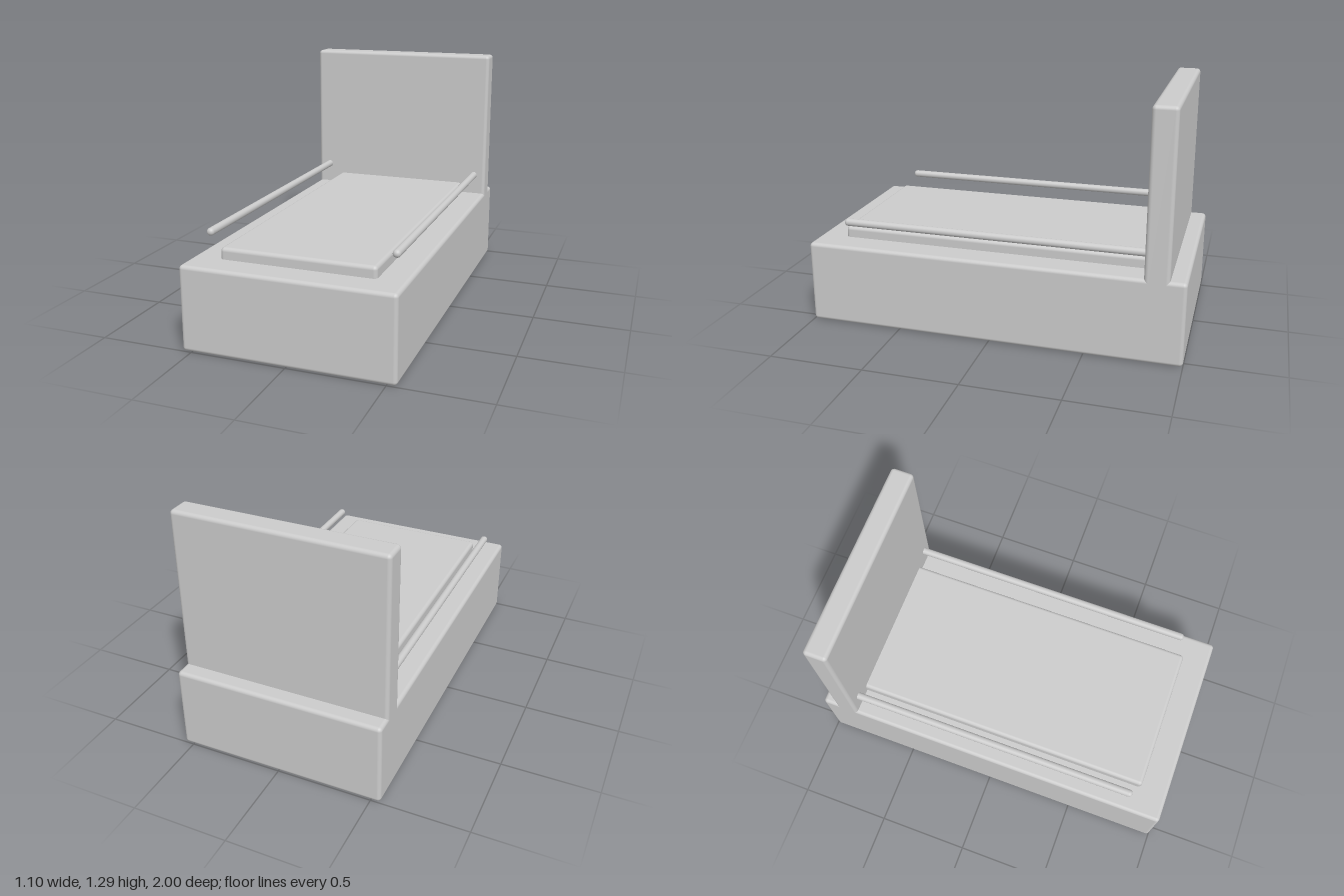
import * as THREE from 'three';
import { RoundedBoxGeometry } from 'three/addons/geometries/RoundedBoxGeometry.js';

const material = new THREE.MeshStandardMaterial({ color: 0xcccccc });

// Soft-edged block given by its min and max corners
function block(name, [x0, y0, z0], [x1, y1, z1], radius = 0.02) {
  const geometry = new RoundedBoxGeometry(x1 - x0, y1 - y0, z1 - z0, 3, radius);
  const mesh = new THREE.Mesh(geometry, material);
  mesh.name = name;
  mesh.position.set((x0 + x1) / 2, (y0 + y1) / 2, (z0 + z1) / 2);
  return mesh;
}

export function createModel() {
  const model = new THREE.Group();
  model.name = 'bed';

  // Solid base, raised mattress and the tall board set in from the back
  model.add(
    block('base', [-0.55, 0, -1], [0.55, 0.443, 1]),
    block('mattress', [-0.403, 0.4, -0.85], [0.403, 0.502, 0.85]),
    block('headboard', [-0.55, 0.38, -0.917], [0.55, 1.295, -0.79]),
  );

  // Slim round-ended rails reaching forward from the headboard
  for (const [name, x] of [['leftRail', 0.48], ['rightRail', -0.48]]) {
    model.add(block(name, [x - 0.02, 0.538, -0.81], [x + 0.02, 0.578, 0.813], 0.0195));
  }
  return model;
}
